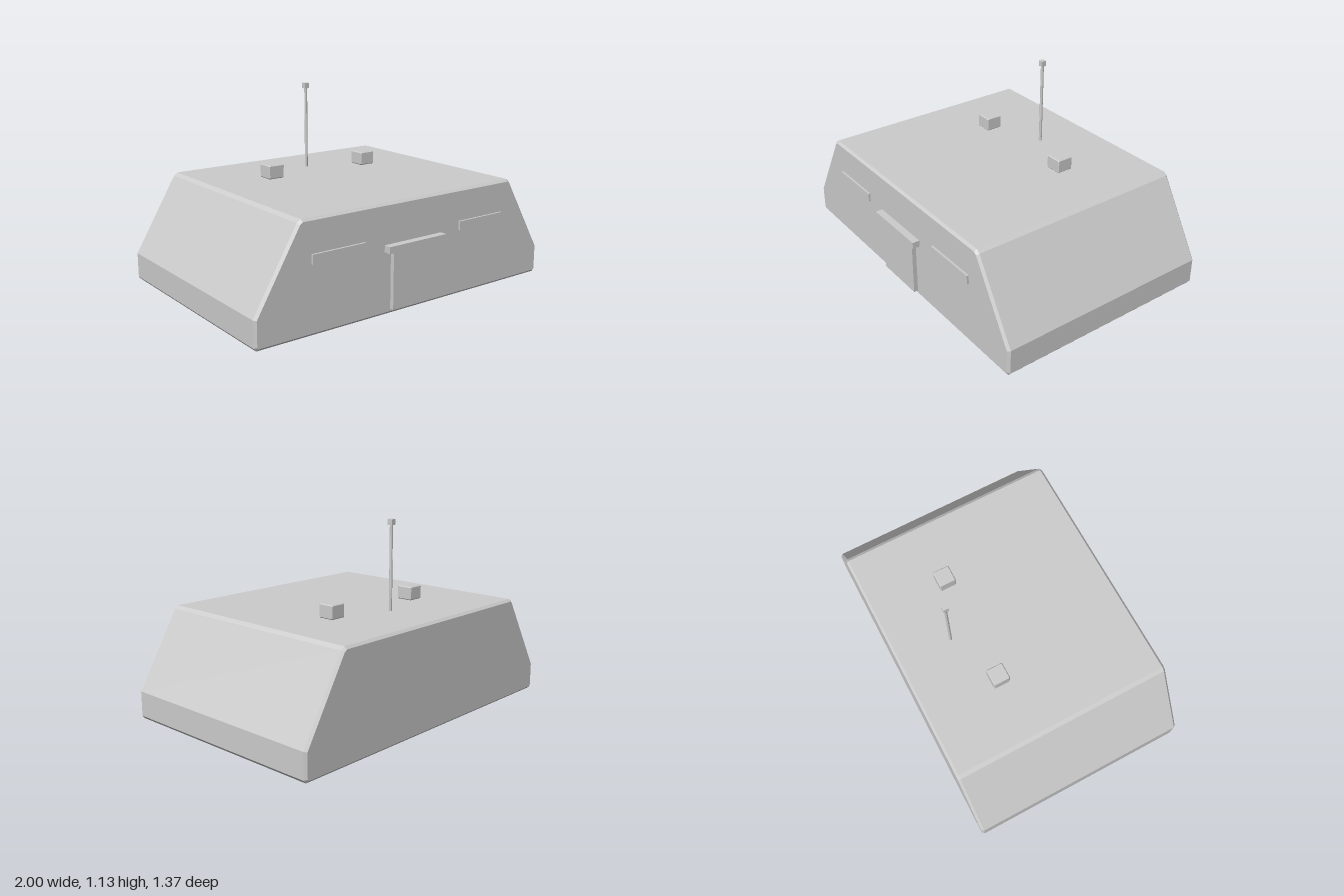
import * as THREE from 'three';

const grey = new THREE.MeshStandardMaterial({ color: 0xcccccc });
grey.name = 'concrete grey';

// Extrudes an outline from z0 to z1 with chamfered end edges
function chamferedPrism(points, z0, z1, chamfer) {
  const shape = new THREE.Shape(points.map(([x, y]) => new THREE.Vector2(x, y)));
  const geometry = new THREE.ExtrudeGeometry(shape, {
    depth: z1 - z0 - 2 * chamfer,
    bevelThickness: chamfer,
    bevelSize: chamfer,
    bevelOffset: -chamfer,
    bevelSegments: 1,
  });
  return geometry.translate(0, 0, z0 + chamfer);
}

export function createModel() {
  const model = new THREE.Group();
  model.name = 'bunker';

  function add(name, geometry, x = 0, y = 0, z = 0) {
    const mesh = new THREE.Mesh(geometry, grey);
    mesh.name = name;
    mesh.position.set(x, y, z);
    model.add(mesh);
    return mesh;
  }

  // Sloped hull: half outline mirrored to a full cross-section
  const half = [[0.985, 0], [1, 0.018], [1, 0.163], [0.742, 0.598], [0.72, 0.615]];
  const outline = [...half, ...half.map(([x, y]) => [-x, y]).reverse()];
  add('hull', chamferedPrism(outline, -0.685, 0.645, 0.014));

  // Entrance with a lintel above it
  add('door', new THREE.BoxGeometry(0.315, 0.325, 0.06), 0, 0.19, 0.64);
  add('lintel', new THREE.BoxGeometry(0.4, 0.038, 0.08), 0, 0.37, 0.648);

  // Window slits and roof vents, mirrored
  const w = 0.05, h = 0.04, c = 0.005;
  const ventOutline = [
    [w - c, -h], [w, c - h], [w, h - c], [w - c, h],
    [c - w, h], [-w, h - c], [-w, c - h], [c - w, -h],
  ];
  for (const [side, s] of [['left', 1], ['right', -1]]) {
    add(side + 'WindowSlit', new THREE.BoxGeometry(0.332, 0.052, 0.04), s * 0.5, 0.405, 0.637);
    add(side + 'RoofVent', chamferedPrism(ventOutline, -0.05, 0.05, c), s * 0.335, 0.655, -0.222);
  }

  // Antenna mast and tip
  const mast = new THREE.CylinderGeometry(0.009, 0.009, 0.5, 8).toNonIndexed();
  mast.computeVertexNormals();
  add('antennaMast', mast, 0, 0.855, -0.355);
  add('antennaTip', new THREE.BoxGeometry(0.03, 0.032, 0.03), 0, 1.114, -0.355);

  return model;
}
